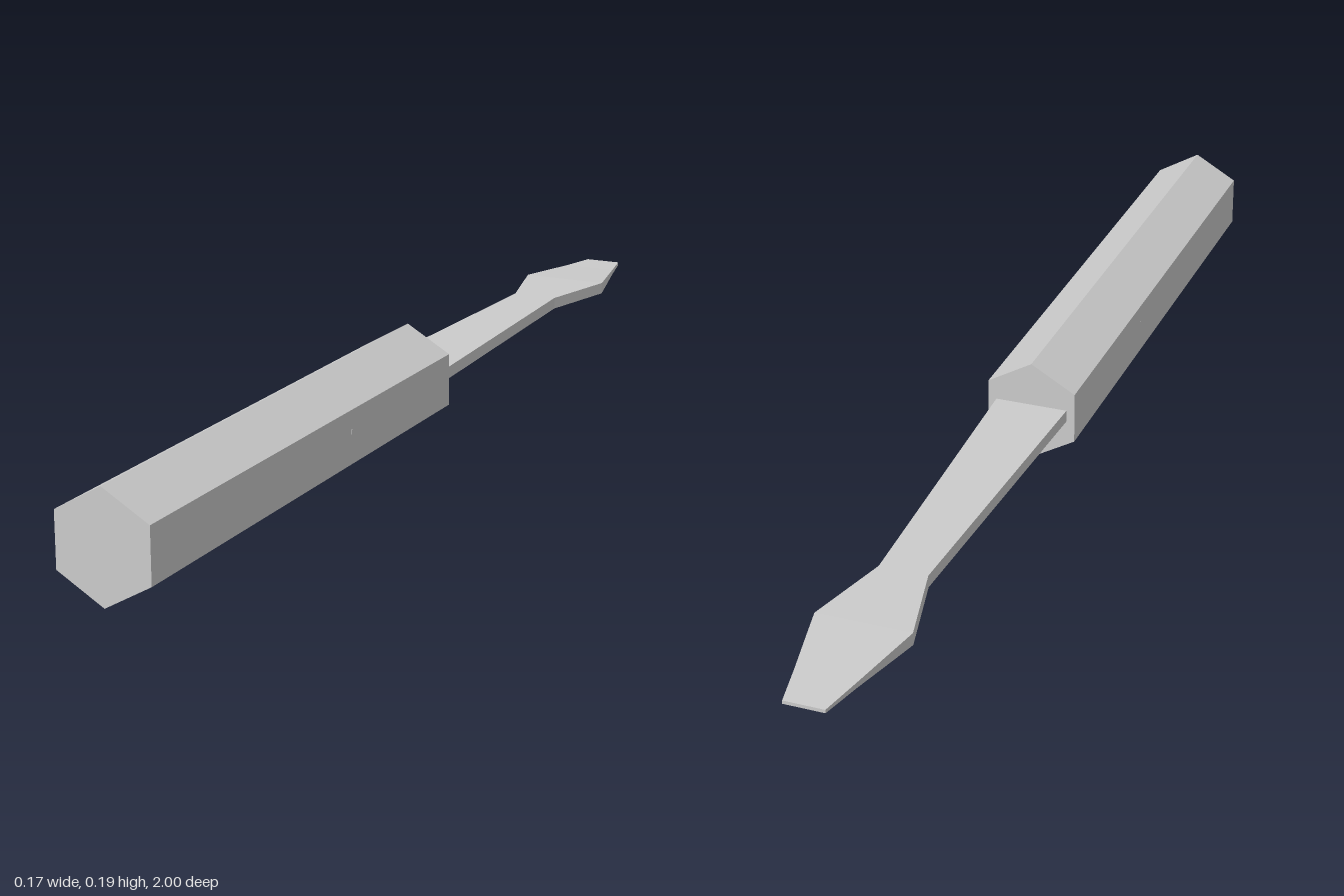
import * as THREE from 'three';

// Lofts rectangular sections [z, halfWidth, halfThickness], listed from front to back
function loftRectangles(sections) {
  const rings = sections.map(([z, w, t]) => [[-w, -t, z], [w, -t, z], [w, t, z], [-w, t, z]]);
  const positions = [];
  const quad = (a, b, c, d) => positions.push(...a, ...b, ...c, ...a, ...c, ...d);
  for (let i = 0; i < rings.length - 1; i++) {
    const a = rings[i], b = rings[i + 1];
    for (let j = 0; j < 4; j++) {
      const k = (j + 1) % 4;
      quad(a[j], b[j], b[k], a[k]);
    }
  }
  const first = rings[0], last = rings[rings.length - 1];
  quad(first[0], first[1], first[2], first[3]);
  quad(last[3], last[2], last[1], last[0]);
  const geometry = new THREE.BufferGeometry();
  geometry.setAttribute('position', new THREE.Float32BufferAttribute(positions, 3));
  geometry.computeVertexNormals();
  return geometry;
}

export function createModel() {
  const group = new THREE.Group();
  group.name = 'screwdriver';
  const material = new THREE.MeshStandardMaterial({ color: 0xcccccc, flatShading: true });
  const radius = 0.095;

  // Hexagonal handle, lying along z with a corner pointing up
  const front = 1, back = -0.027;
  const handle = new THREE.Mesh(
    new THREE.CylinderGeometry(radius, radius, front - back, 6).rotateX(Math.PI / 2), material);
  handle.name = 'handle';
  handle.position.set(0, radius, (front + back) / 2);
  group.add(handle);

  // Flat blade: tang inside the handle, tapering shank, flared and thinned tip
  const blade = new THREE.Mesh(loftRectangles([
    [0.36, 0.0828, 0.011],
    [-0.62, 0.043, 0.011],
    [-0.78, 0.083, 0.011],
    [-0.83, 0.072, 0.009],
    [-0.92, 0.052, 0.005],
    [-1, 0.035, 0.003],
  ]), material);
  blade.name = 'blade';
  blade.position.y = 0.097;
  group.add(blade);

  return group;
}
